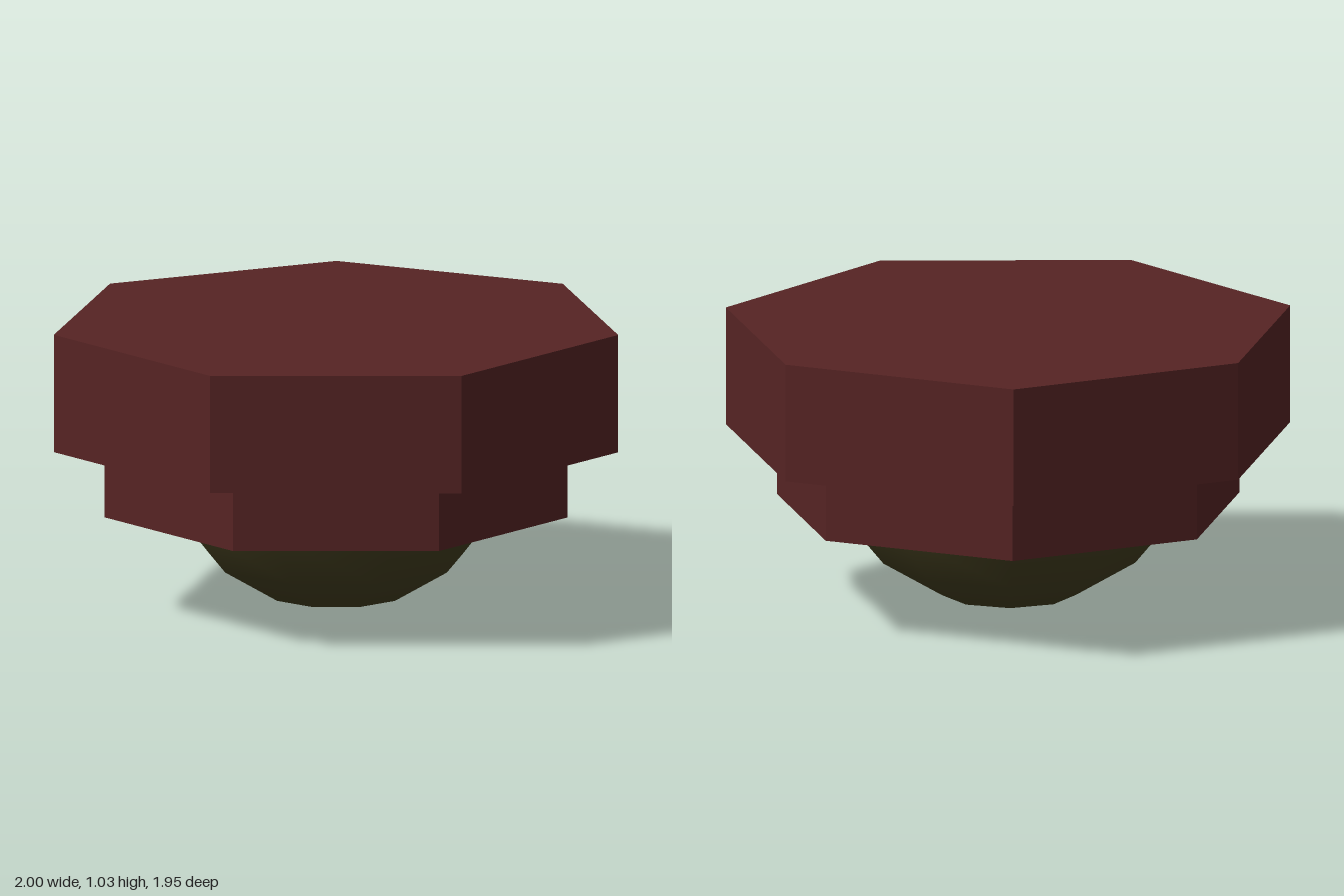
import * as THREE from 'three';

export function createModel() {
  const model = new THREE.Group();
  model.name = 'steppedHeptagonWithBowl';

  const red = new THREE.MeshStandardMaterial({ color: 0x562424, flatShading: true });
  red.name = 'darkRed';
  const olive = new THREE.MeshStandardMaterial({ color: 0x454020 });
  olive.name = 'darkOlive';

  const centreZ = 0.05;

  // Seven-sided slab with one corner pointing to the back
  function slab(name, radius, bottom, top) {
    const geometry = new THREE.CylinderGeometry(radius, radius, top - bottom, 7);
    geometry.rotateY(Math.PI);
    const mesh = new THREE.Mesh(geometry, red);
    mesh.name = name;
    mesh.position.set(0, (bottom + top) / 2, centreZ);
    model.add(mesh);
  }
  slab('upperSlab', 1.0257, 0.605, 1.03);
  slab('lowerSlab', 0.841, 0.36, 0.605);

  // Low-poly rounded bowl, its rim hidden inside the lower slab
  const step = Math.PI / 9;
  const bowlGeometry = new THREE.SphereGeometry(1, 9, 4, -Math.PI / 2, Math.PI * 2, step * 5, step * 4);
  bowlGeometry.scale(0.705, 0.72, 0.705);
  const bowl = new THREE.Mesh(bowlGeometry, olive);
  bowl.name = 'bowl';
  bowl.position.set(0, 0.72, centreZ);
  model.add(bowl);

  return model;
}
